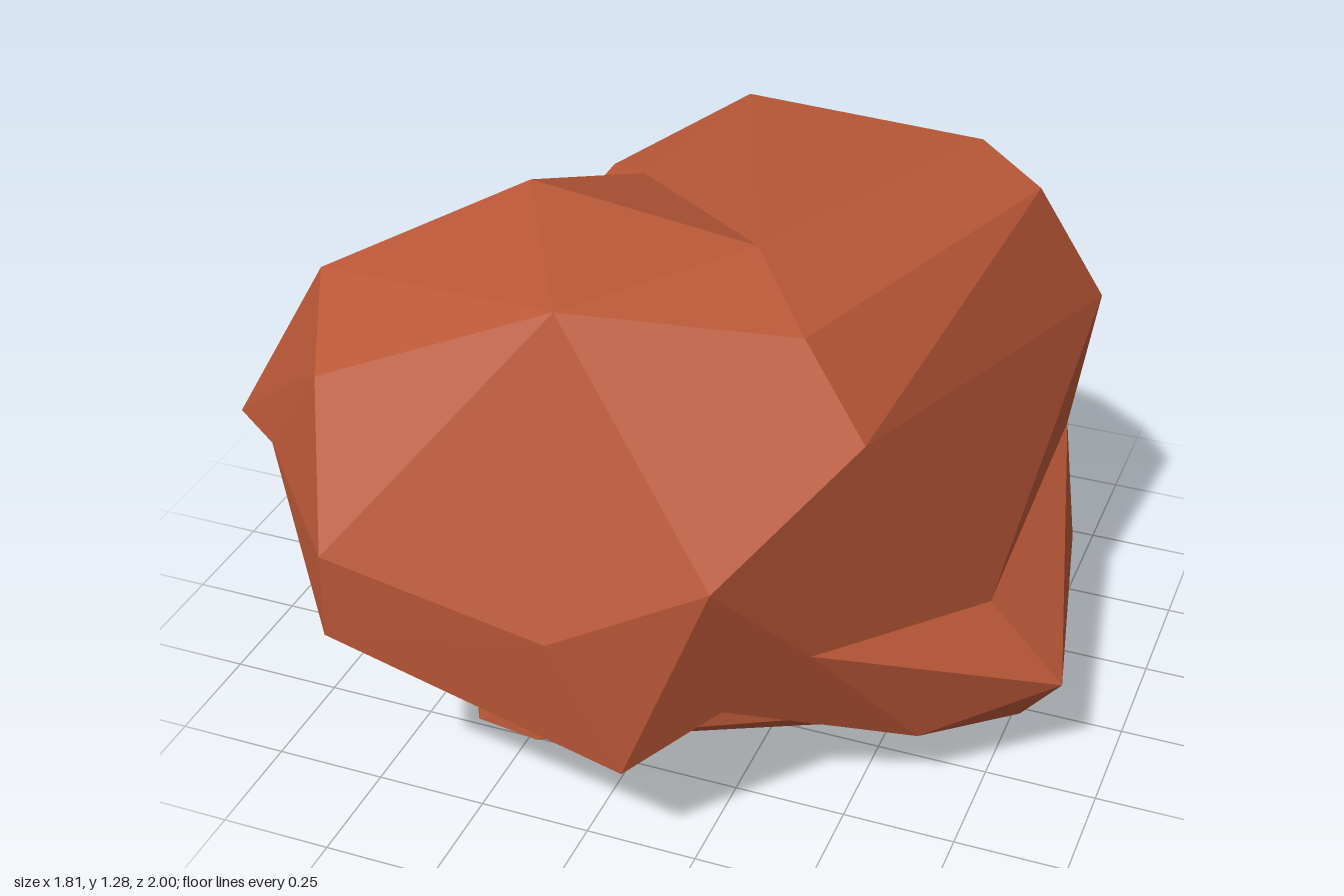
import * as THREE from 'three';
import { ConvexGeometry } from 'three/addons/geometries/ConvexGeometry.js';

// Corners shared by neighbouring masses of the boulder
const crownLeft = [-0.31, 1.28, 0.25], crownFront = [-0.05, 1.26, 0.72];
const crownRight = [0.23, 1.27, 0.34], crownDip = [-0.24, 1.10, -0.20];
const browRight = [0.39, 1.18, 0.51], cheek = [0.54, 1.0, 0.57], jaw = [0.46, 0.51, 0.63];
const browLeft = [-0.66, 1.15, 0.54], templeLeft = [-0.62, 1.0, 0.74], cheekLeft = [-0.72, 0.80, 0.70];
const underPoint = [-0.72, 0.55, 0.42], noseRight = [0.0, 0.62, 0.925], lip = [0.14, 0.30, 0.88];
const saddleTop = [-0.43, 0.95, 0.01], saddle = [-0.40, 0.88, -0.09];
const waistTop = [-0.47, 0.74, -0.11], waist = [-0.47, 0.44, -0.09];
const armpit = [-0.51, 0.37, 0.27], bellyA = [-0.35, 0.27, 0.52], bellyB = [-0.20, 0.23, 0.53];
const chin = [0.24, 0.30, 0.62];
const flank = [0.73, 0.53, -0.41], hip = [0.73, 0.45, 0.23];
const backRidge = [-0.15, 0.72, -0.77], sideLedge = [-0.43, 0.84, -0.41], backRight = [0.45, 0.70, -0.72];
const backNotch = [0.58, 0.53, -0.62], backCorner = [0.58, 0.28, -0.61];
const flareFront = [0.53, 0.27, 0.48], hemFront = [0.63, 0.18, 0.40], hemInner = [0.42, 0.16, 0.33];
const hemTip = [0.81, 0.16, 0.22], hemBack = [0.72, 0.14, -0.30];
const underRight = [0.52, 0.10, -0.65], underMid = [0.40, 0.10, -0.23], underLeft = [-0.38, 0.17, -0.2];

const masses = {
  // overhanging front, on the model's right of the middle edge
  frontRightSide: [
    crownLeft, crownFront, crownRight, crownDip, browLeft, templeLeft, cheekLeft, underPoint,
    noseRight, lip, chin, saddleTop, waistTop, waist, armpit, bellyA, bellyB,
    [-0.53, 1.07, 0.82], [-0.45, 0.77, 1.0], [-0.46, 0.57, 0.99],
  ],
  // overhanging front, on the model's left of the middle edge
  frontLeftSide: [
    crownFront, crownRight, crownDip, browRight, cheek, jaw,
    noseRight, lip, chin, bellyB, [0.33, 0.79, 0.87],
  ],
  // pointed corner jutting sideways
  sidePoint: [
    crownLeft, browLeft, templeLeft, cheekLeft, underPoint,
    saddleTop, saddle, waistTop, waist, armpit, [-0.91, 0.73, 0.51],
  ],
  // upper body and sloping crown
  upperBody: [
    crownRight, crownDip, browRight, cheek, jaw, saddleTop, waistTop, waist,
    flank, hip, backRidge, sideLedge, backRight, backNotch,
    [0.49, 1.22, -0.40], [0.64, 1.15, -0.35], [-0.18, 1.08, -0.73],
    [0.40, 0.92, -0.63], [0.53, 0.87, -0.66], [0.77, 0.84, -0.48],
    [0.58, 0.73, -0.64], [-0.37, 1.04, -0.33],
  ],
  // sloping back down to the ground
  lowerBack: [
    backRidge, sideLedge, backRight, backNotch, backCorner, flank, waistTop, waist,
    underRight, underMid, underLeft,
    [-0.54, 0.54, -0.57], [-0.21, 0.18, -1.0], [-0.20, 0.34, -0.95],
    [0.43, 0.17, -0.90], [-0.57, 0.19, -0.70], [-0.35, 0.03, -0.54],
  ],
  // flared skirt on the model's left side
  sideFlare: [
    jaw, hip, flank, chin, backNotch, backCorner, flareFront,
    hemFront, hemInner, hemTip, hemBack, underMid, underRight,
    [0.90, 0.27, 0.23], [0.78, 0.27, -0.34],
  ],
  // base with the front foot
  base: [
    armpit, bellyA, bellyB, waist, hip, flareFront, hemInner, hemTip, hemBack,
    underMid, underRight, underLeft, [0.24, 0.29, 0.53],
    [-0.35, 0.06, 0.55], [-0.21, 0.04, 0.55], [-0.20, 0.0, 0.43],
  ],
};

export function createModel() {
  const group = new THREE.Group();
  group.name = 'boulder';
  const stone = new THREE.MeshStandardMaterial({ color: 0xbb5838 });
  stone.name = 'red stone';
  for (const [name, corners] of Object.entries(masses)) {
    const points = corners.map((c) => new THREE.Vector3(...c));
    const mesh = new THREE.Mesh(new ConvexGeometry(points), stone);
    mesh.name = name;
    group.add(mesh);
  }
  return group;
}
